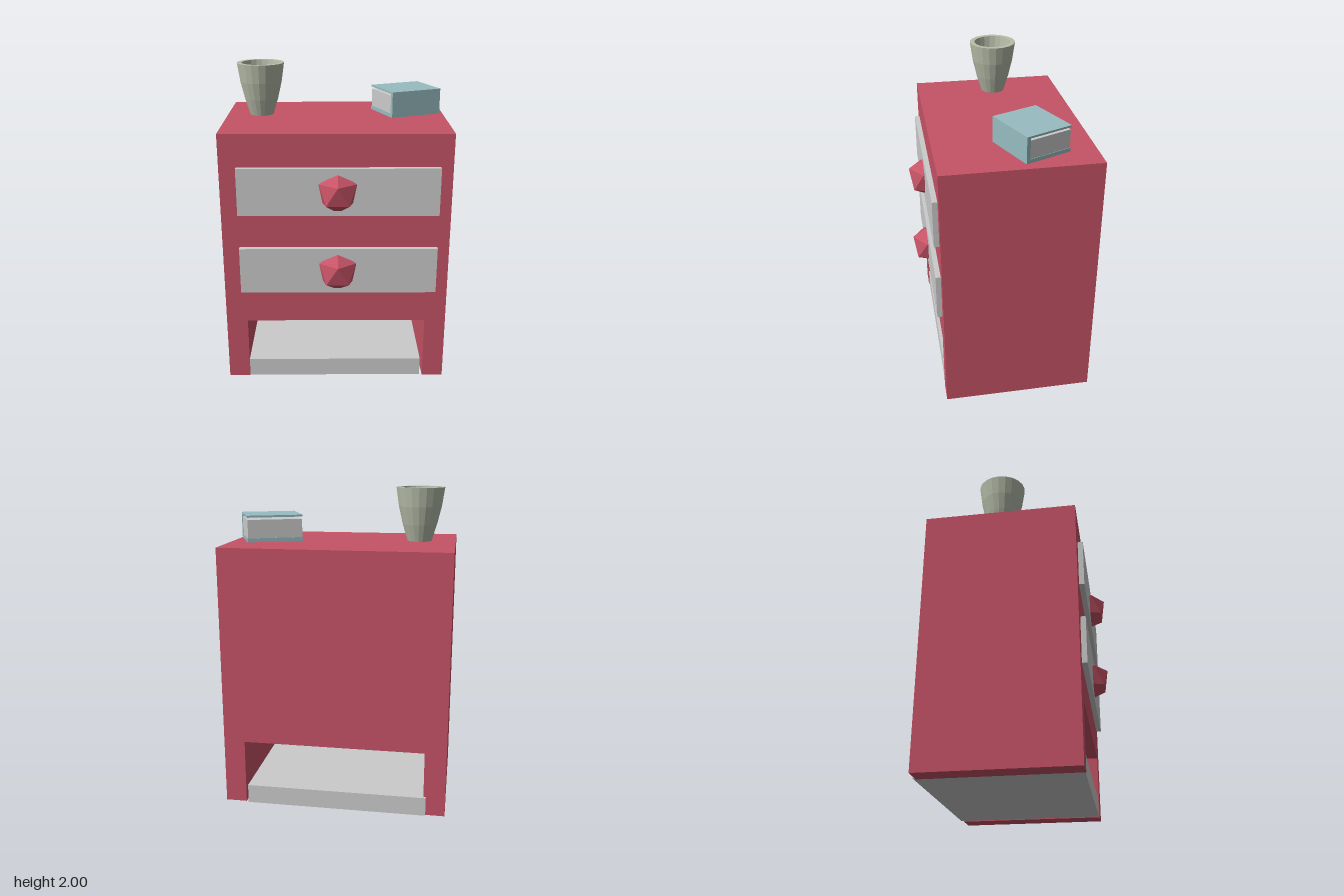
import * as THREE from 'three';

const material = (color) => new THREE.MeshStandardMaterial({ color, flatShading: true });
const RED = material(0xc65366), GREY = material(0xcccccc);
const TEAL = material(0x98bcc1), CLAY = material(0xb9bfab);

function add(parent, name, geometry, mat) {
  const mesh = new THREE.Mesh(geometry, mat);
  mesh.name = name;
  parent.add(mesh);
  return mesh;
}

// Box given by its lower and upper corners
function box(parent, name, mat, [x0, y0, z0], [x1, y1, z1]) {
  const mesh = add(parent, name, new THREE.BoxGeometry(x1 - x0, y1 - y0, z1 - z0), mat);
  mesh.position.set((x0 + x1) / 2, (y0 + y1) / 2, (z0 + z1) / 2);
  return mesh;
}

export function createModel() {
  const model = new THREE.Group();
  model.name = 'nightstand';

  // Cabinet body: an upside-down U run from back to front
  const outline = new THREE.Shape([
    [-0.71, 0], [-0.575, 0], [-0.575, 0.415], [0.572, 0.415],
    [0.572, 0], [0.706, 0], [0.706, 1.655], [-0.71, 1.655],
  ].map(([x, y]) => new THREE.Vector2(x, y)));
  const bodyGeometry = new THREE.ExtrudeGeometry(outline, { depth: 0.948, bevelEnabled: false });
  add(model, 'cabinetBody', bodyGeometry.translate(0, 0, -0.53), RED);

  // Bottom shelf, slightly off centre and poking out at the back
  box(model, 'bottomShelf', GREY, [-0.59, 0.002, -0.545], [0.555, 0.122, 0.413]);

  // Drawers with faceted knobs, a vertex of each knob pointing up
  const knobGeometry = new THREE.IcosahedronGeometry(0.135, 0)
    .rotateX(-Math.atan((1 + Math.sqrt(5)) / 2));
  for (const [name, y] of [['upper', 1.15], ['lower', 0.631]]) {
    const drawer = new THREE.Group();
    drawer.name = name + 'Drawer';
    model.add(drawer);
    box(drawer, 'drawerFront', GREY, [-0.605, y, 0.39], [0.63, y + 0.3, 0.45]);
    add(drawer, 'knob', knobGeometry, RED).position.set(0.008, y + 0.144, 0.42);
  }

  // Hollow flowerpot, turned from floor, outer wall, rim and inner wall
  const profile = [
    [0, 0], [0.076, 0], [0.108, 0.105], [0.134, 0.215], [0.151, 0.332],
    [0.12, 0.332], [0.107, 0.215], [0.086, 0.11], [0.061, 0.03], [0, 0.03],
  ].map(([r, y]) => new THREE.Vector2(r, y));
  add(model, 'flowerpot', new THREE.LatheGeometry(profile, 20), CLAY)
    .position.set(-0.483, 1.668, -0.085);

  // Book turned on the top, its spine towards the front
  const book = new THREE.Group();
  book.name = 'book';
  book.position.set(0.457, 1.668, -0.151);
  book.rotation.y = 0.402;
  model.add(book);
  box(book, 'bottomCover', TEAL, [-0.173, 0, -0.152], [0.173, 0.024, 0.152]);
  box(book, 'topCover', TEAL, [-0.173, 0.151, -0.152], [0.173, 0.163, 0.152]);
  box(book, 'spine', TEAL, [-0.173, 0.024, 0.128], [0.173, 0.151, 0.152]);
  box(book, 'pages', GREY, [-0.17, 0.024, -0.149], [0.17, 0.137, 0.128]);

  return model;
}
